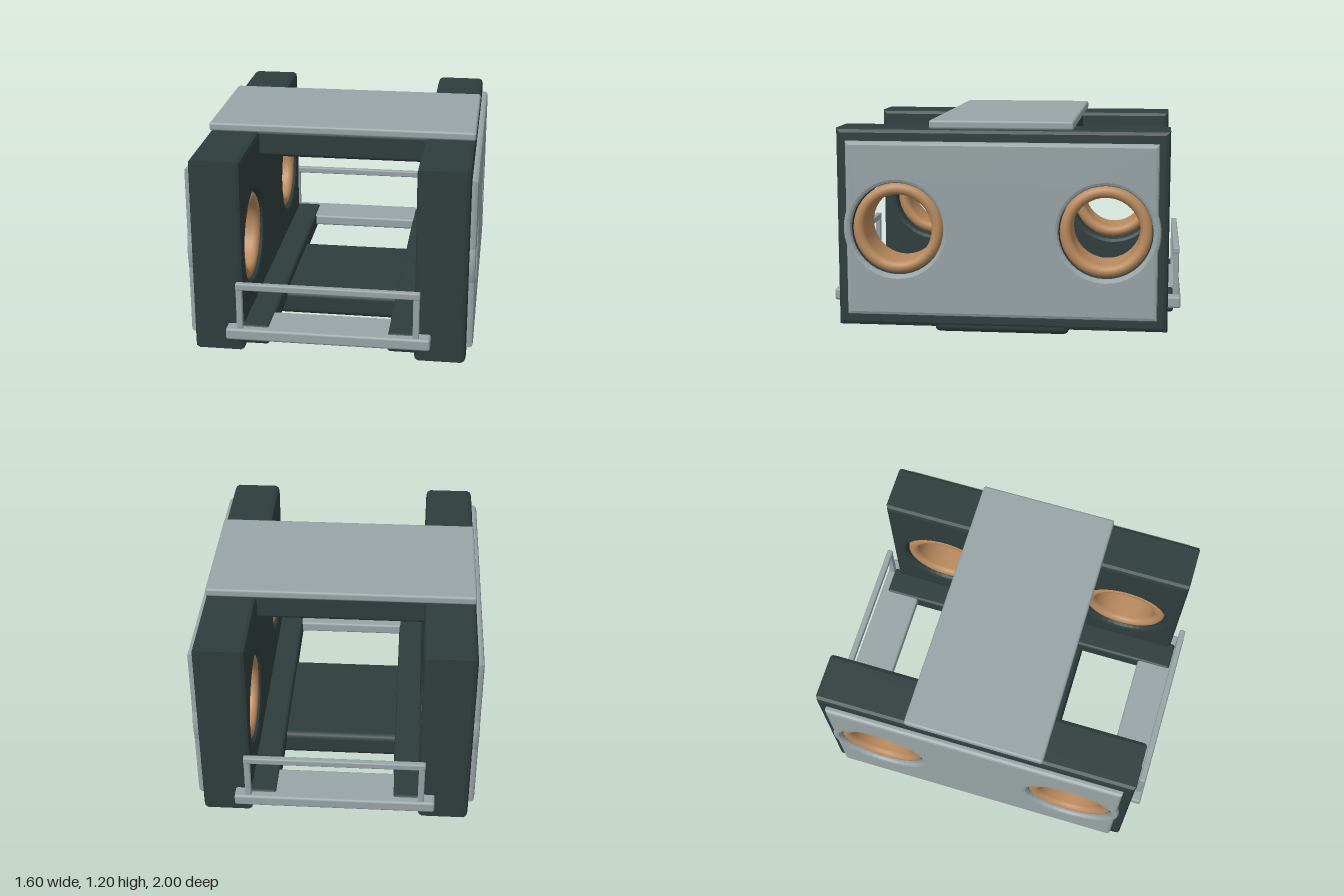
import * as THREE from 'three';
import { RoundedBoxGeometry } from 'three/addons/geometries/RoundedBoxGeometry.js';

export function createModel() {
  const model = new THREE.Group();
  model.name = 'frame';

  const mat = (name, color) => {
    const m = new THREE.MeshStandardMaterial({ color });
    m.name = name;
    return m;
  };
  const dark = mat('darkGreen', 0x2f3d3d);
  const grey = mat('paleGrey', 0x98a4a6);
  const copper = mat('copper', 0xb98a5e);

  const add = (name, geometry, material, x = 0, y = 0, z = 0) => {
    const mesh = new THREE.Mesh(geometry, material);
    mesh.name = name;
    mesh.position.set(x, y, z);
    model.add(mesh);
    return mesh;
  };
  // Softened box given by its extents
  const box = (name, material, [x0, x1], [y0, y1], [z0, z1], r) =>
    add(name, new RoundedBoxGeometry(x1 - x0, y1 - y0, z1 - z0, 2, r), material,
      (x0 + x1) / 2, (y0 + y1) / 2, (z0 + z1) / 2);

  const portZ = 0.58, portY = 0.59;

  // Bevelled upright slab with two round ports, centred on its own origin, thickness along x
  const portedSlab = (halfZ, halfY, thickness, bevel, bevelDepth, portRadius, bulge) => {
    const w = halfZ - bevel, h = halfY - bevel;
    const shape = new THREE.Shape();
    shape.moveTo(-w, -h);
    shape.lineTo(w, -h);
    if (bulge) {
      const a = Math.acos((w - portZ) / bulge);
      shape.absarc(portZ, 0, bulge, -a, a, false);
      shape.lineTo(w, h);
      shape.lineTo(-w, h);
      shape.absarc(-portZ, 0, bulge, Math.PI - a, Math.PI + a, false);
    } else {
      shape.lineTo(w, h);
      shape.lineTo(-w, h);
    }
    shape.closePath();
    for (const s of [-1, 1]) {
      const hole = new THREE.Path();
      hole.absarc(s * portZ, 0, portRadius + bevel, 0, Math.PI * 2, true);
      shape.holes.push(hole);
    }
    const depth = thickness - 2 * bevelDepth;
    const g = new THREE.ExtrudeGeometry(shape, {
      depth, bevelEnabled: true, bevelSize: bevel, bevelThickness: bevelDepth,
      bevelSegments: 2, curveSegments: 20,
    });
    g.translate(0, 0, -depth / 2);
    g.rotateY(Math.PI / 2);
    return g;
  };
  const wallGeo = portedSlab(0.925, 0.56, 0.288, 0.025, 0.025, 0.262);
  const panelGeo = portedSlab(0.867, 0.49, 0.05, 0.02, 0.018, 0.26, 0.283);

  // Round-lipped sleeve lining each port
  const profile = [];
  const lip = 0.0325, half = 0.145, mid = 0.2225;
  for (let i = 0; i <= 10; i++) {
    const a = (i / 10) * Math.PI;
    profile.push(new THREE.Vector2(mid - lip * Math.cos(a), -(half - lip) - lip * Math.sin(a)));
  }
  for (let i = 0; i <= 10; i++) {
    const a = (i / 10) * Math.PI;
    profile.push(new THREE.Vector2(mid + lip * Math.cos(a), half - lip + lip * Math.sin(a)));
  }
  profile.push(profile[0].clone());
  const sleeveGeo = new THREE.LatheGeometry(profile, 40);
  sleeveGeo.rotateZ(Math.PI / 2);

  // Side walls, cover panels, sleeves and floor runners
  for (const [side, s] of [['left', 1], ['right', -1]]) {
    add(side + 'Wall', wallGeo, dark, s * 0.62, portY, 0);
    add(side + 'Panel', panelGeo, grey, s * 0.775, portY, 0);
    for (const [end, e] of [['Front', 1], ['Back', -1]])
      add(side + end + 'Sleeve', sleeveGeo, copper, s * 0.635, portY, e * portZ);
    box(side + 'Runner', dark, s > 0 ? [0.33, 0.51] : [-0.51, -0.33], [0.088, 0.2], [-0.96, 0.96], 0.02);
  }

  // Base, cross beam and roof plate
  box('base', dark, [-0.76, 0.76], [0, 0.15], [-0.38, 0.38], 0.035);
  box('crossBeam', dark, [-0.6, 0.6], [1.0, 1.16], [-0.38, 0.38], 0.025);
  box('roofPlate', grey, [-0.765, 0.765], [1.148, 1.198], [-0.4, 0.4], 0.014);

  // Step and guard rail at both ends
  for (const [end, e] of [['front', 1], ['back', -1]]) {
    const span = (a, b) => (e > 0 ? [a, b] : [-b, -a]);
    box(end + 'Step', grey, [-0.57, 0.57], [0.125, 0.193], span(0.75, 1.0), 0.014);
    box(end + 'Rail', grey, [-0.51, 0.51], [0.425, 0.465], span(0.953, 0.989), 0.008);
    for (const s of [-1, 1])
      box(end + 'RailPost', grey, s > 0 ? [0.473, 0.508] : [-0.508, -0.473], [0.18, 0.445], span(0.955, 0.987), 0.007);
  }

  return model;
}
